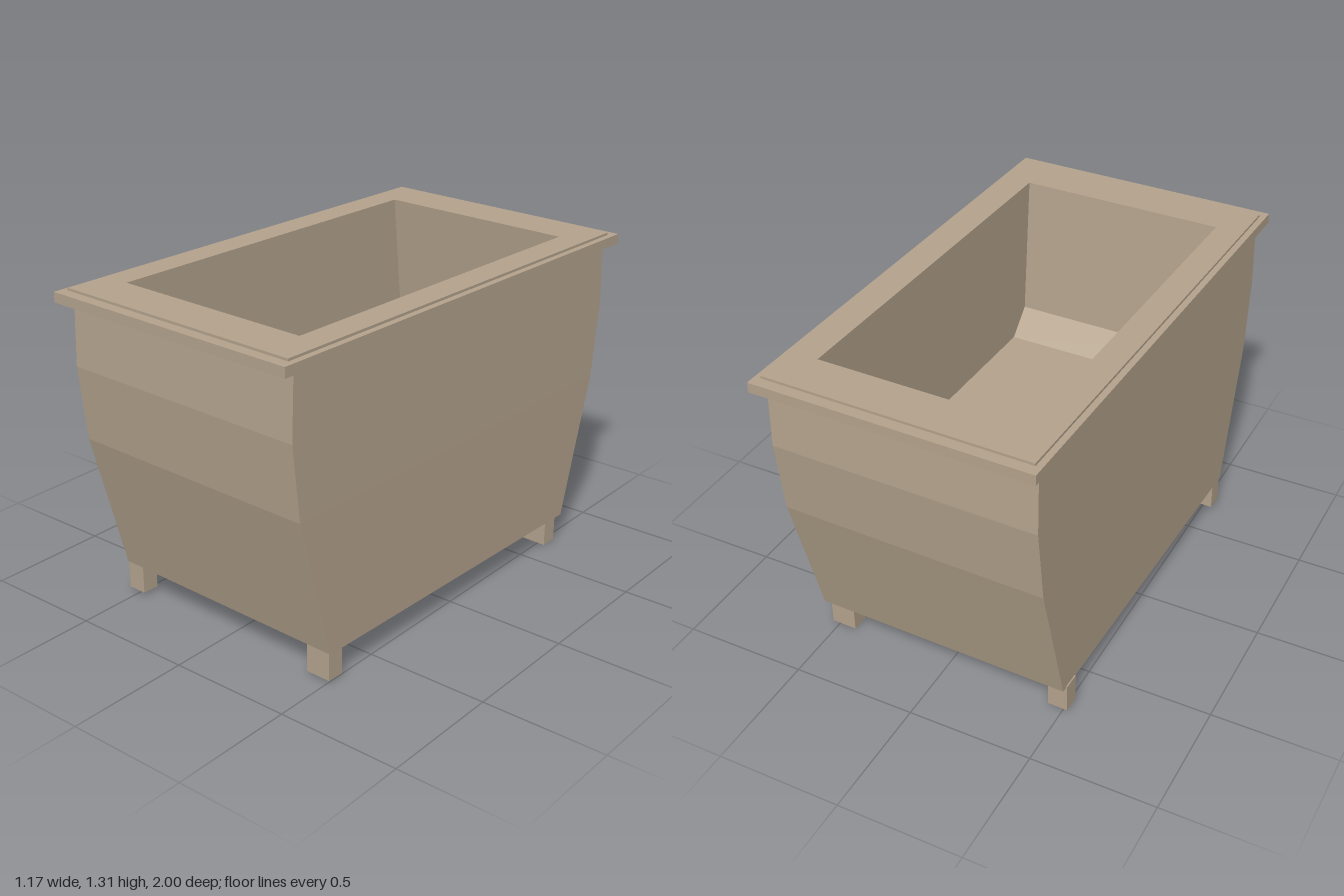
import * as THREE from 'three';

const material = new THREE.MeshStandardMaterial({ color: 0xb3a28c, flatShading: true });

// Skin a run of rectangular rings [y, halfWidth, backZ, frontZ].
// Rings running upward face outward, rings running downward face inward.
function loft(name, rings) {
  const corners = rings.map(([y, w, back, front]) =>
    [[-w, y, front], [w, y, front], [w, y, back], [-w, y, back]]);
  const points = [];
  for (let i = 0; i < corners.length - 1; i++) {
    const lower = corners[i], upper = corners[i + 1];
    for (let j = 0; j < 4; j++) {
      const k = (j + 1) % 4;
      points.push(...lower[j], ...lower[k], ...upper[k]);
      points.push(...lower[j], ...upper[k], ...upper[j]);
    }
  }
  const geometry = new THREE.BufferGeometry();
  geometry.setAttribute('position', new THREE.Float32BufferAttribute(points, 3));
  geometry.computeVertexNormals();
  const mesh = new THREE.Mesh(geometry, material);
  mesh.name = name;
  return mesh;
}

const ring = (y, w, d) => [y, w, -d, d];

export function createModel() {
  const group = new THREE.Group();
  const tub = new THREE.Group();
  tub.name = 'tub';
  group.add(tub);

  // Outer shell: flat sides, ends that bulge and taper to the base
  tub.add(loft('shell', [
    ring(0.114, 0, 0), ring(0.114, 0.53, 0.737), ring(0.693, 0.532, 0.893),
    ring(0.993, 0.532, 0.928), ring(1.235, 0.532, 0.92), ring(1.248, 0.545, 0.94),
  ]));

  // Overhanging rim with a thin raised step, pierced by the opening
  tub.add(loft('rim', [
    ring(1.248, 0.53, 0.915), ring(1.248, 0.558, 0.988), ring(1.288, 0.558, 0.988),
    ring(1.288, 0.533, 0.945), ring(1.298, 0.533, 0.945), ring(1.298, 0.42, 0.767),
  ]));

  // Basin: slanted end walls, bevelled into a flat floor
  tub.add(loft('basin', [
    [1.298, 0.42, -0.767, 0.767], [0.725, 0.42, -0.83, 0.715],
    [0.625, 0.42, -0.735, 0.615], [0.625, 0, 0, 0],
  ]));

  // Four block feet: [centre x, centre z, width]
  const feet = [
    ['frontRightFoot', -0.487, 0.7, 0.08], ['frontLeftFoot', 0.47, 0.7, 0.105],
    ['backRightFoot', -0.495, -0.68, 0.08], ['backLeftFoot', 0.463, -0.68, 0.105],
  ];
  for (const [name, x, z, width] of feet) {
    const foot = new THREE.Mesh(new THREE.BoxGeometry(width, 0.12, 0.07), material);
    foot.name = name;
    foot.position.set(x, 0.06, z);
    tub.add(foot);
  }

  // The tub stands very slightly askew
  tub.rotation.set(-0.006, -0.025, -0.005);
  tub.position.y = 0.007;
  return group;
}
